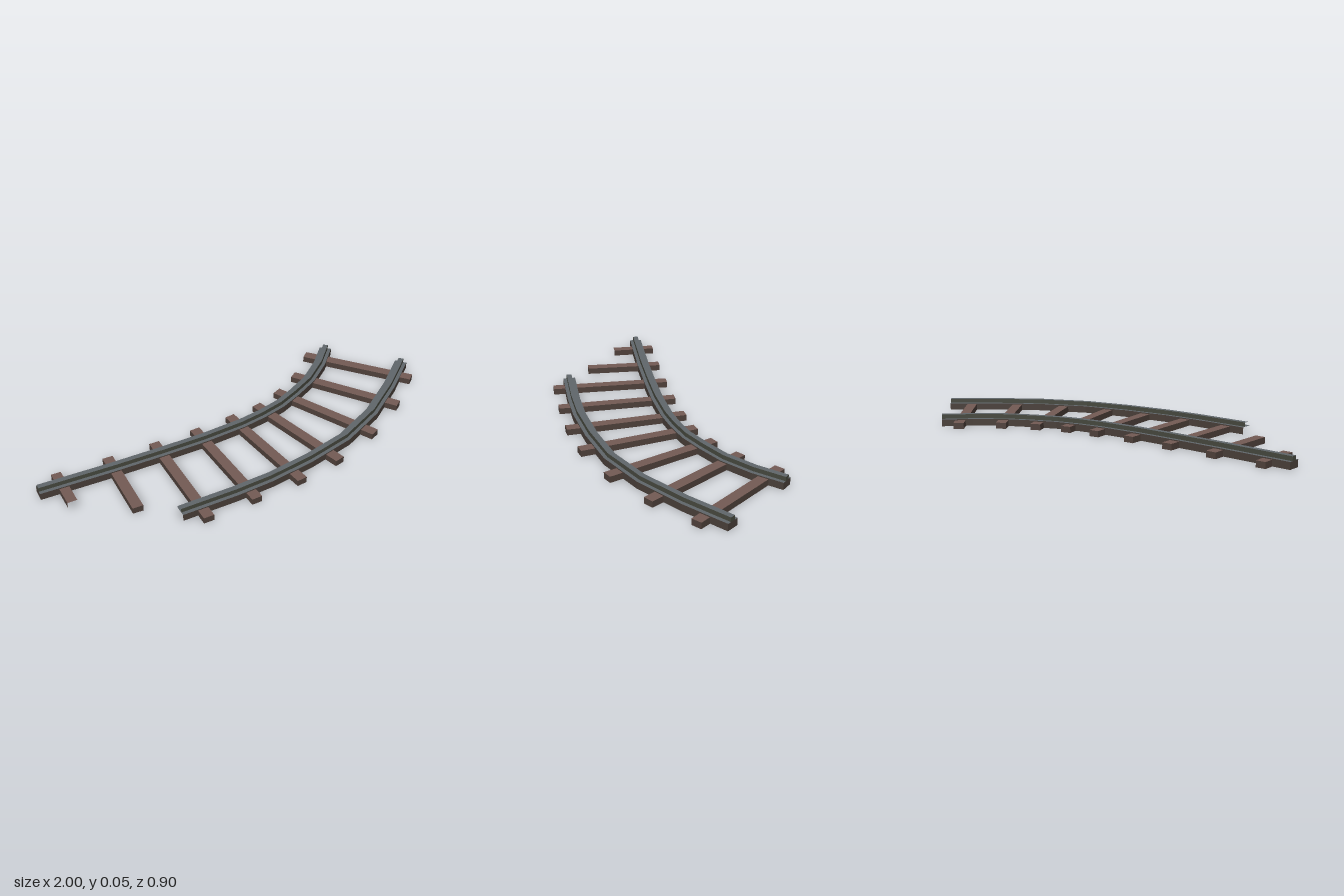
import * as THREE from 'three';

// Sweep an upright rectangle along a ground path of [x, z] points, with mitred joints.
// Material group 0 holds the top, group 1 the sides, underside and ends.
function sweep(path, width, y0, y1, capStart = true, capEnd = true) {
  const dir = (a, b) => new THREE.Vector2(b[0] - a[0], b[1] - a[1]).normalize();
  const last = path.length - 1;
  const rings = path.map((p, i) => {
    const before = dir(path[Math.max(i - 1, 0)], path[Math.max(i, 1)]);
    const after = dir(path[Math.min(i, last - 1)], path[Math.min(i + 1, last)]);
    const t = before.clone().add(after).normalize();
    const h = width / 2 / t.dot(before);
    const sx = -t.y * h, sz = t.x * h; // offset to the right of travel
    return [
      [p[0] - sx, y0, p[1] - sz], [p[0] + sx, y0, p[1] + sz],
      [p[0] + sx, y1, p[1] + sz], [p[0] - sx, y1, p[1] - sz],
    ];
  });
  const top = [], rest = [];
  const quad = (list, a, b, c, d) => list.push(...a, ...b, ...c, ...a, ...c, ...d);
  for (let i = 0; i < last; i++) {
    for (let k = 0; k < 4; k++) {
      const n = (k + 1) % 4;
      quad(k === 2 ? top : rest, rings[i][k], rings[i + 1][k], rings[i + 1][n], rings[i][n]);
    }
  }
  if (capStart) quad(rest, ...rings[0]);
  if (capEnd) quad(rest, ...rings[last].slice().reverse());
  const geo = new THREE.BufferGeometry();
  geo.setAttribute('position', new THREE.Float32BufferAttribute([...top, ...rest], 3));
  geo.addGroup(0, top.length / 3, 0);
  geo.addGroup(top.length / 3, rest.length / 3, 1);
  geo.computeVertexNormals();
  return geo;
}

function material(name, color) {
  const mat = new THREE.MeshStandardMaterial({ color });
  mat.name = name;
  return mat;
}

export function createModel() {
  const model = new THREE.Group();
  model.name = 'curvedTrack';

  const steel = material('steel grey', 0x60666a);
  const darkSteel = material('dark olive steel', 0x45473d);
  const rust = material('dark rust', 0x483e38);
  const wood = material('wood brown', 0x735a54);
  const darkWood = material('dark wood', 0x4e403a);

  const add = (parent, name, geo, mats) => {
    const mesh = new THREE.Mesh(geo, mats);
    mesh.name = name;
    parent.add(mesh);
  };

  // Rails: a wide foot with a narrow head on top
  const rails = [
    { name: 'backRail', closed: true, path: [
      [-1, -0.045], [-0.65, -0.035], [-0.4, -0.034], [-0.2, -0.037], [0, -0.052], [0.12, -0.073],
      [0.24, -0.105], [0.355, -0.157], [0.475, -0.22], [0.6, -0.32], [0.704, -0.429]] },
    { name: 'frontRail', closed: false, path: [
      [-0.513, 0.367], [-0.25, 0.365], [-0.07, 0.354], [0.15, 0.32], [0.38, 0.263],
      [0.603, 0.156], [0.803, 0.013], [0.979, -0.135]] },
  ];
  for (const { name, closed, path } of rails) {
    const rail = new THREE.Group();
    rail.name = name;
    add(rail, 'railFoot', sweep(path, 0.06, 0.001, 0.034, closed), [steel, rust]);
    add(rail, 'railHead', sweep(path, 0.025, 0.034, 0.054, closed), [steel, darkSteel]);
    model.add(rail);
  }

  // Sleepers fanned around the bend, the first two broken short
  const sleepers = [
    [[-0.892, -0.123], [-0.892, 0.09]],
    [[-0.648, -0.12], [-0.658, 0.255]],
    [[-0.418, -0.12], [-0.418, 0.452]],
    [[-0.208, -0.125], [-0.182, 0.443]],
    [[-0.015, -0.14], [0.053, 0.427]],
    [[0.142, -0.16], [0.275, 0.387]],
    [[0.286, -0.215], [0.528, 0.295]],
    [[0.431, -0.3], [0.758, 0.157]],
    [[0.581, -0.433], [0.947, 0.0]],
  ];
  sleepers.forEach((path, i) => {
    const geo = sweep(path, i === 0 ? 0.045 : 0.049, 0, 0.029, true, i > 0);
    add(model, 'sleeper' + (i + 1), geo, [wood, darkWood]);
  });

  return model;
}
